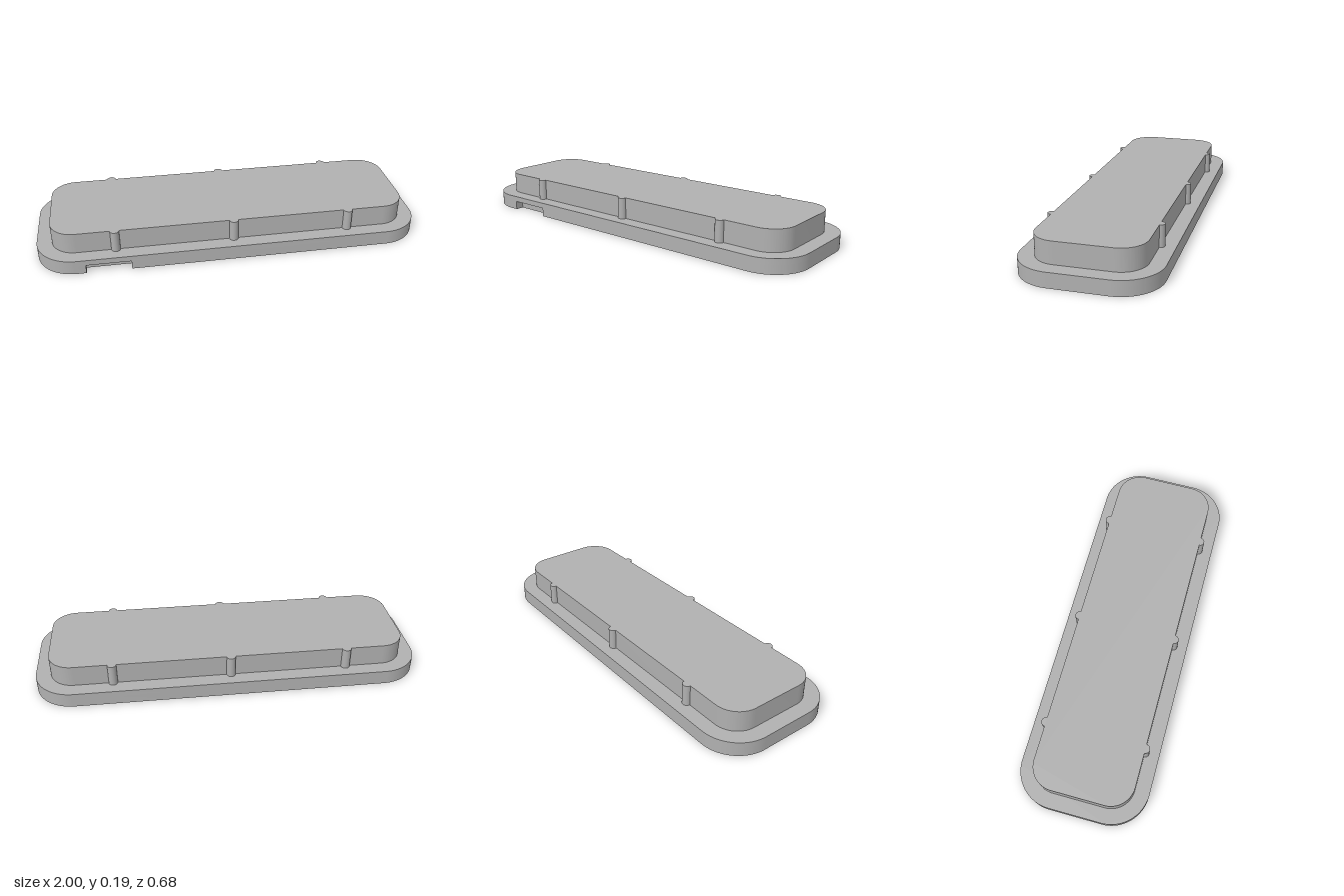
import * as THREE from 'three';
import { toCreasedNormals } from 'three/addons/utils/BufferGeometryUtils.js';

// Rounded outline; an optional notch is cut into the edge that becomes the front (+z)
function roundedOutline(halfX, halfZ, r, notch) {
  const s = new THREE.Shape();
  const cx = halfX - r, cz = halfZ - r;
  s.moveTo(-cx, -halfZ);
  if (notch) {
    s.lineTo(notch.x0, -halfZ);
    s.lineTo(notch.x0, -halfZ + notch.depth);
    s.lineTo(notch.x1, -halfZ + notch.depth);
    s.lineTo(notch.x1, -halfZ);
  }
  s.lineTo(cx, -halfZ);
  s.absarc(cx, -cz, r, -Math.PI / 2, 0, false);
  s.absarc(cx, cz, r, 0, Math.PI / 2, false);
  s.absarc(-cx, cz, r, Math.PI / 2, Math.PI, false);
  s.absarc(-cx, -cz, r, Math.PI, Math.PI * 1.5, false);
  return s;
}

// Upright slab between two heights
function slab(name, shape, y0, y1, material) {
  const geo = new THREE.ExtrudeGeometry(shape, { depth: y1 - y0, bevelEnabled: false, curveSegments: 16 });
  geo.rotateX(-Math.PI / 2);
  const mesh = new THREE.Mesh(toCreasedNormals(geo, 0.5), material);
  mesh.name = name;
  mesh.position.y = y0;
  return mesh;
}

export function createModel() {
  const group = new THREE.Group();
  group.name = 'plugCover';
  const grey = new THREE.MeshStandardMaterial({ color: 0xb0b0b0 });
  grey.name = 'grey';

  const notchTop = 0.046, baseTop = 0.075, top = 0.185;
  const plugZ = 0.262, ribR = 0.023;

  // Flange, with a pry notch in its lower front edge
  const notch = { x0: -0.755, x1: -0.53, depth: 0.045 };
  group.add(slab('flangeLower', roundedOutline(1, 0.338, 0.2, notch), 0, notchTop, grey));
  group.add(slab('flangeUpper', roundedOutline(1, 0.338, 0.2), notchTop, baseTop, grey));

  // Raised plug
  group.add(slab('plug', roundedOutline(0.923, plugZ, 0.125), baseTop, top, grey));

  // Half-round grip ribs on both long sides
  const ribGeo = new THREE.CylinderGeometry(ribR, ribR, top - baseTop, 16, 1, false, -Math.PI / 2, Math.PI);
  for (const side of [1, -1]) {
    for (const x of [-0.602, 0, 0.602]) {
      const rib = new THREE.Mesh(ribGeo, grey);
      rib.name = side > 0 ? 'frontRib' : 'backRib';
      rib.position.set(x, (top + baseTop) / 2, side * plugZ);
      rib.rotation.y = side > 0 ? 0 : Math.PI;
      group.add(rib);
    }
  }
  return group;
}
